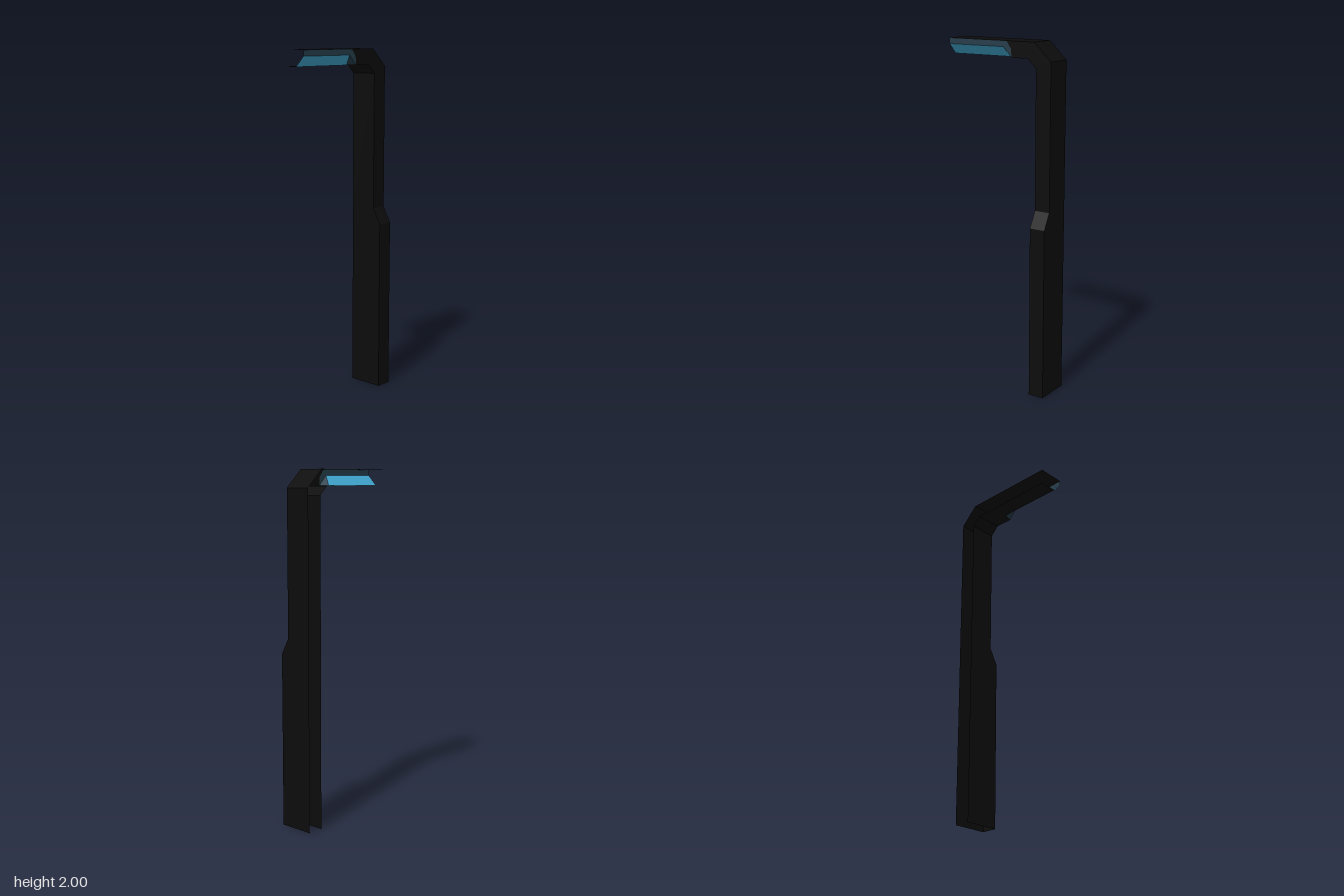
import * as THREE from 'three';

const BACK = -0.105;

// Cross-sections from the arm tip, round the bend, down to the foot.
// o = outer edge [x, y], m = front crease, i = inner edge, zo / zi = front depth at outer / inner edge
const stations = [
  { o: [-0.333, 2], m: [-0.333, 1.967], i: [-0.333, 1.91], zo: 0.055, zi: 0 },
  { o: [0.03, 2], m: [0.03, 1.967], i: [0.065, 1.91], zo: 0.055, zi: 0 },
  { o: [0.05, 2], m: [0.08, 1.957], i: [0.083, 1.91], zo: 0.055, zi: 0.055 },
  { o: [0.228, 2], m: [0.213, 1.965], i: [0.19, 1.91], zo: 0.055, zi: 0.055 },
  { o: [0.333, 1.9], m: [0.3, 1.885], i: [0.24, 1.86], zo: 0.055, zi: 0.055 },
  { o: [0.333, 1.08], m: [0.3, 1.08], i: [0.24, 1.08], zo: 0.055, zi: 0.055 },
  { o: [0.333, 0.99], m: [0.3, 0.99], i: [0.24, 0.99], zo: 0.105, zi: 0.105 },
  { o: [0.333, 0], m: [0.3, 0], i: [0.24, 0], zo: 0.105, zi: 0.105 },
];

// Five points of the open-backed channel, outer back edge round to inner back edge
const section = ({ o, m, i, zo, zi }) => [
  [...o, BACK], [...o, zo], [...m, zo], [...i, zi], [...i, BACK],
];

// Skin chosen sides of the channel between two stations
function skin(name, material, from, to, sides) {
  const pos = [];
  for (let s = from; s < to; s++) {
    const p = section(stations[s]);
    const q = section(stations[s + 1]);
    for (const k of sides) {
      pos.push(...p[k], ...p[k + 1], ...q[k + 1], ...p[k], ...q[k + 1], ...q[k]);
    }
  }
  const geometry = new THREE.BufferGeometry();
  geometry.setAttribute('position', new THREE.Float32BufferAttribute(pos, 3));
  geometry.computeVertexNormals();
  const mesh = new THREE.Mesh(geometry, material);
  mesh.name = name;
  return mesh;
}

function paint(name, color) {
  const material = new THREE.MeshStandardMaterial({ color, side: THREE.DoubleSide });
  material.name = name;
  return material;
}

export function createModel() {
  const black = paint('black metal', 0x0c0c0c);
  const trim = paint('dark blue trim', 0x263d4b);
  const glow = paint('light blue lens', 0x42a8d2);

  const group = new THREE.Group();
  group.name = 'streetLamp';
  group.add(
    // top and underside of the lamp head
    skin('headShell', black, 0, 2, [0, 3]),
    // upper band and the slanted end of the lens recess
    skin('lensBand', trim, 0, 2, [1]),
    skin('recessEnd', trim, 1, 2, [2]),
    // lens tilted downwards
    skin('lens', glow, 0, 1, [2]),
    // bend and upright, open at the back
    skin('bend', black, 2, 4, [0, 1, 2, 3]),
    skin('pole', black, 4, 7, [0, 1, 2, 3]),
  );
  return group;
}
